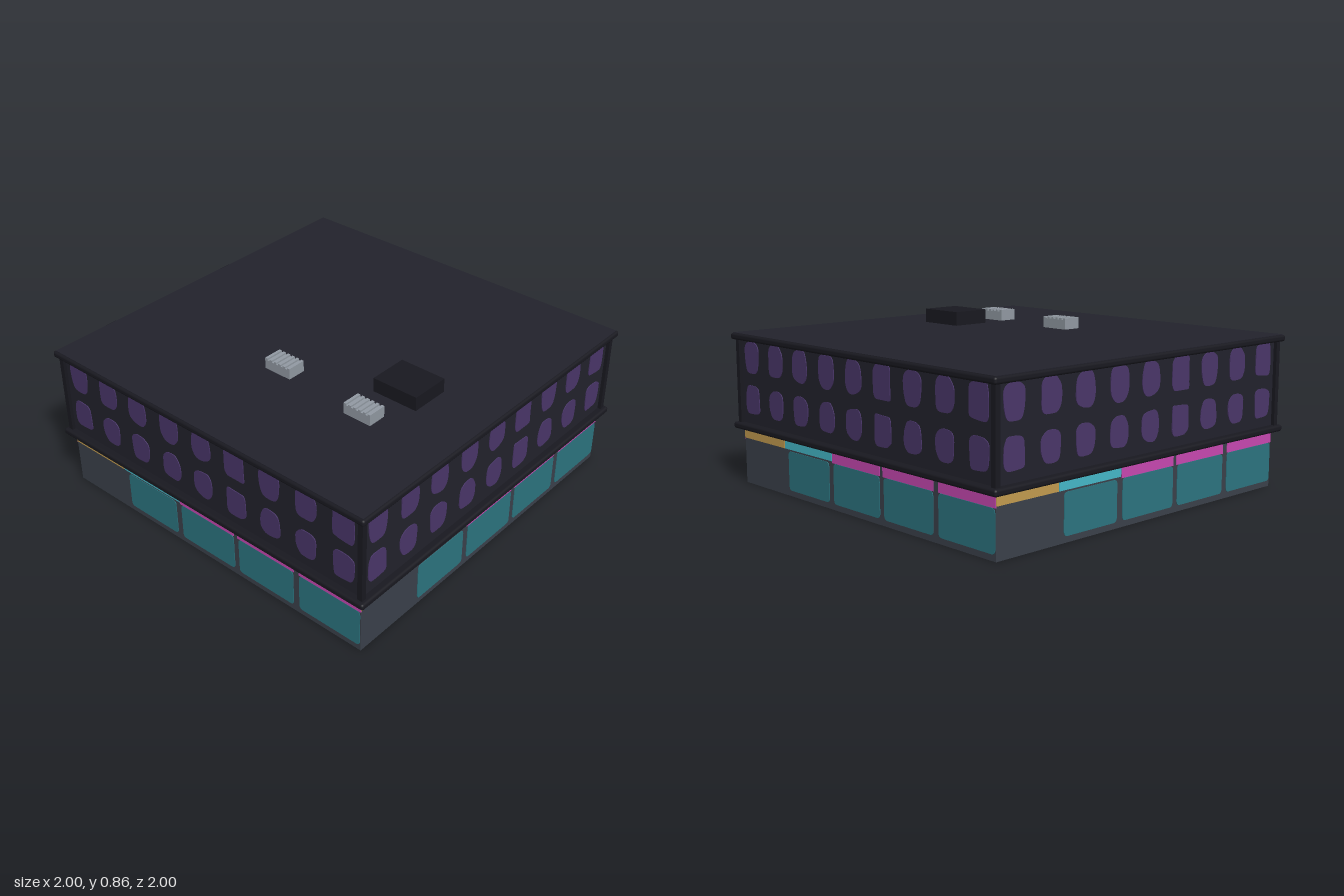
import * as THREE from 'three';
import { RoundedBoxGeometry } from 'three/addons/geometries/RoundedBoxGeometry.js';

const mat = (name, color, side = THREE.FrontSide) => {
  const m = new THREE.MeshStandardMaterial({ color, side });
  m.name = name;
  return m;
};

export function createModel() {
  const M = {
    wall: mat('darkWall', 0x22222c),
    trim: mat('blackTrim', 0x191920),
    purple: mat('purpleWindow', 0x4a366a),
    base: mat('greyBase', 0x3b414b, THREE.DoubleSide),
    teal: mat('tealGlass', 0x2c7580),
    cyan: mat('cyanSign', 0x46b9c9),
    pink: mat('pinkSign', 0xc848b2),
    gold: mat('goldSign', 0xc39c4f),
    metal: mat('roofMetal', 0x929aa3),
  };
  const building = new THREE.Group();
  building.name = 'building';

  const add = (parent, name, geo, material, x, y, z) => {
    const mesh = new THREE.Mesh(geo, material);
    mesh.name = name;
    mesh.position.set(x, y, z);
    parent.add(mesh);
    return mesh;
  };
  // box given by its limits on each axis
  const box = (parent, name, material, x0, x1, y0, y1, z0, z1) =>
    add(parent, name, new THREE.BoxGeometry(x1 - x0, y1 - y0, z1 - z0), material,
      (x0 + x1) / 2, (y0 + y1) / 2, (z0 + z1) / 2);
  const extrude = (shape, depth) =>
    new THREE.ExtrudeGeometry(shape, { depth, bevelEnabled: false, curveSegments: 4 });

  // rounded shop pane
  const paneShape = (x0, x1, y0, y1, r) => {
    const s = new THREE.Shape();
    s.moveTo(x0 + r, y0);
    s.lineTo(x1 - r, y0);
    s.quadraticCurveTo(x1, y0, x1, y0 + r);
    s.lineTo(x1, y1 - r);
    s.quadraticCurveTo(x1, y1, x1 - r, y1);
    s.lineTo(x0 + r, y1);
    s.quadraticCurveTo(x0, y1, x0, y1 - r);
    s.lineTo(x0, y0 + r);
    s.quadraticCurveTo(x0, y0, x0 + r, y0);
    return s;
  };
  // soft, uneven window outline; a higher power makes it squarer
  const blobShape = (w, h, power, seed) => {
    const points = [];
    for (let i = 0; i < 32; i++) {
      const a = (i / 32) * Math.PI * 2;
      const c = Math.cos(a), s = Math.sin(a);
      const wobble = 1 + 0.035 * Math.sin(3 * a + seed * 2.1) + 0.02 * Math.sin(5 * a + seed);
      points.push(new THREE.Vector2(
        Math.sign(c) * Math.abs(c) ** (2 / power) * w / 2 * wobble,
        Math.sign(s) * Math.abs(s) ** (2 / power) * h / 2 * wobble));
    }
    return new THREE.Shape(points);
  };

  // main volume and projecting slabs
  box(building, 'upperStorey', M.wall, -0.962, 0.962, 0.3, 0.77, -0.962, 0.962);
  add(building, 'lowerCornice', new RoundedBoxGeometry(2, 0.033, 2, 2, 0.012), M.trim, 0, 0.305, 0);
  add(building, 'roofCornice', new RoundedBoxGeometry(2, 0.033, 2, 2, 0.012), M.trim, 0, 0.768, 0);
  box(building, 'roofDeck', M.wall, -0.988, 0.988, 0.78, 0.787, -0.988, 0.988);

  // four identical facades turned about the centre
  const columns = [-0.86, -0.645, -0.433, -0.213, 0, 0.215, 0.43, 0.646, 0.862];
  const topPower = [3, 3, 2.7, 3, 2.6, 6, 2.8, 2.8, 5];
  const lowPower = [4, 2.7, 3, 2.8, 2.7, 5, 2.8, 2.8, 4];
  const panes = [[-0.557, -0.215], [-0.178, 0.178], [0.21, 0.557], [0.593, 0.953]];
  const signs = [
    ['goldSign', M.gold, -0.957, -0.59, 0.238],
    ['cyanSign', M.cyan, -0.587, -0.19, 0.238],
    ['pinkSign', M.pink, -0.186, 0.18, 0.23],
    ['pinkSign', M.pink, 0.202, 0.56, 0.23],
    ['pinkSign', M.pink, 0.593, 0.957, 0.23],
  ];
  const Z = 0.957;
  for (let side = 0; side < 4; side++) {
    const facade = new THREE.Group();
    facade.name = 'facade';
    facade.rotation.y = side * Math.PI / 2;
    building.add(facade);

    // open-bottomed ground floor: plates show through to the inside of the thin wall
    add(facade, 'groundWall', new THREE.PlaneGeometry(2 * Z, 0.29), M.base, 0, 0.145, Z);
    panes.forEach(([x0, x1]) =>
      add(facade, 'shopPane', extrude(paneShape(x0, x1, 0.03, 0.229, 0.022), 0.006), M.teal, 0, 0, Z - 0.003));
    signs.forEach(([name, material, x0, x1, y0]) =>
      box(facade, name, material, x0, x1, y0, 0.289, Z - 0.003, Z + 0.003));

    // two rows of windows
    columns.forEach((x, i) => {
      add(facade, 'upperWindow', extrude(blobShape(0.122, 0.164, topPower[i], i), 0.005), M.purple, x, 0.667, 0.961);
      add(facade, 'lowerWindow', extrude(blobShape(0.12, 0.147, lowPower[i], i + 4.5), 0.005), M.purple, x, 0.446, 0.961);
    });
    box(facade, 'cornerPost', M.trim, 0.953, 0.98, 0.315, 0.76, 0.953, 0.98);
  }

  // rooftop equipment
  box(building, 'roofHatch', M.trim, 0.418, 0.67, 0.78, 0.86, 0.028, 0.24);
  [[-0.023, 0.375], [0.51, 0.418]].forEach(([x, z]) => {
    const unit = new THREE.Group();
    unit.name = 'ventUnit';
    unit.position.set(x, 0, z);
    building.add(unit);
    box(unit, 'ventBody', M.metal, -0.079, 0.079, 0.78, 0.836, -0.05, 0.05);
    for (let i = 0; i < 6; i++) {
      const rx = -0.079 + i * 0.0286;
      box(unit, 'ventRib', M.metal, rx, rx + 0.015, 0.834, 0.845, -0.05, 0.05);
    }
  });
  return building;
}
